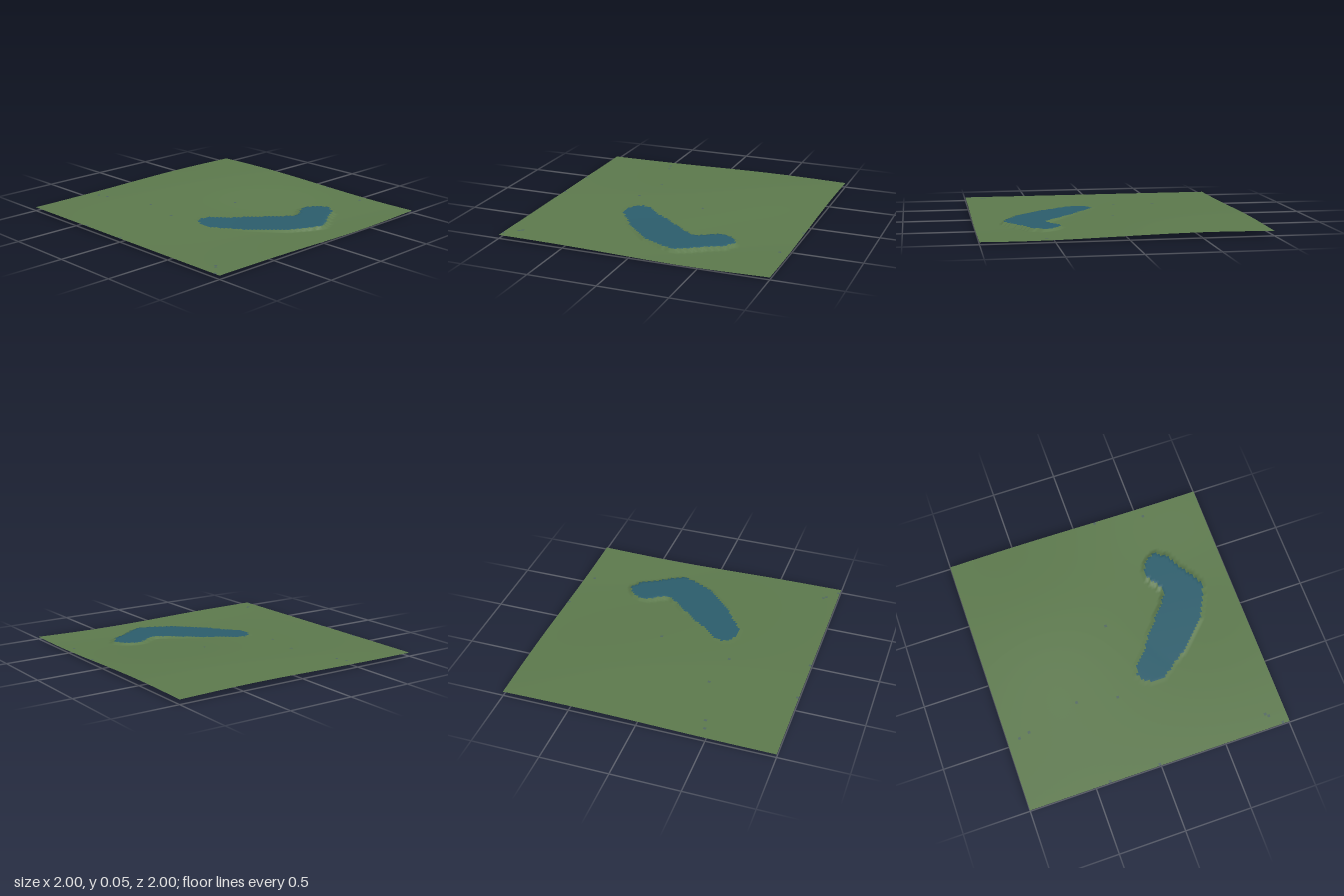
import * as THREE from 'three';

const N = 100;            // cells per side
const STEP = 2 / N;
const WATER = 0.023;      // lake level

// Lake shoreline (x, z)
const SHORE = [
  [0.52, -0.6], [0.6, -0.55], [0.68, -0.41], [0.78, -0.25], [0.76, -0.15], [0.66, 0.03], [0.52, 0.18],
  [0.38, 0.28], [0.26, 0.37], [0.18, 0.385], [0.1, 0.36], [0.07, 0.29], [0.08, 0.22], [0.16, 0.16],
  [0.27, 0], [0.4, -0.15], [0.48, -0.25], [0.47, -0.32], [0.4, -0.43], [0.41, -0.51], [0.46, -0.57],
];

// Small bare patches in the grass (x, z)
const PATCHES = [
  [-0.91, 0.46], [-0.83, 0.44], [-0.44, 0.34], [-0.14, 0.41], [-0.03, -0.15], [0.85, 0.89],
  [0.87, 0.91], [0.95, 0.99], [-0.39, 0.99], [-0.01, 0.99], [0.17, -0.99], [0.55, -0.93],
];

function inLake(x, z) {
  let inside = false;
  SHORE.forEach(([ax, az], i) => {
    const [bx, bz] = SHORE[(i + 1) % SHORE.length];
    if ((az > z) !== (bz > z) && x < ax + ((z - az) * (bx - ax)) / (bz - az)) inside = !inside;
  });
  return inside;
}

const bump = (v, centre, width) => Math.exp(-(((v - centre) / width) ** 2));

// Gentle hill on one side, shallow hollow on the other, fading to a level front edge
function ground(x, z) {
  return 0.027 + 0.027 * bump(z, -0.4, 0.7) * (bump(x, -0.55, 0.6) - bump(x, 0.7, 0.6));
}

export function createModel() {
  const grass = new THREE.MeshStandardMaterial({ color: 0x5d7a4d, side: THREE.DoubleSide });
  grass.name = 'grass';
  const water = new THREE.MeshStandardMaterial({ color: 0x2c5e6d, side: THREE.DoubleSide });
  water.name = 'water';
  const stone = new THREE.MeshStandardMaterial({ color: 0x526860, side: THREE.DoubleSide });
  stone.name = 'stone';

  const cellOf = (v) => Math.min(N - 1, Math.floor((v + 1) / STEP));
  const patchCells = new Set(PATCHES.map(([x, z]) => cellOf(z) * N + cellOf(x)));

  // Sort the cells by material and note the vertices touched by the lake
  const faces = [[], [], []];
  const wet = new Set();
  for (let r = 0; r < N; r++) {
    for (let c = 0; c < N; c++) {
      const a = r * (N + 1) + c, b = a + 1, d = a + N + 1, e = d + 1;
      const lake = inLake(-1 + (c + 0.5) * STEP, -1 + (r + 0.5) * STEP);
      if (lake) [a, b, d, e].forEach((v) => wet.add(v));
      const kind = lake ? 1 : patchCells.has(r * N + c) ? 2 : 0;
      faces[kind].push(a, d, b, b, d, e);
    }
  }

  // Terrain sheet
  const geometry = new THREE.PlaneGeometry(2, 2, N, N).rotateX(-Math.PI / 2);
  const pos = geometry.attributes.position;
  for (let i = 0; i < pos.count; i++) {
    const h = ground(pos.getX(i), pos.getZ(i));
    pos.setY(i, wet.has(i) ? Math.max(WATER, h + 0.002) : h);
  }
  geometry.setIndex(faces.flat());
  geometry.clearGroups();
  let start = 0;
  faces.forEach((list, kind) => {
    geometry.addGroup(start, list.length, kind);
    start += list.length;
  });
  geometry.computeVertexNormals();

  const terrain = new THREE.Mesh(geometry, [grass, water, stone]);
  terrain.name = 'terrainWithLake';
  const model = new THREE.Group();
  model.name = 'landscape';
  model.add(terrain);
  return model;
}
